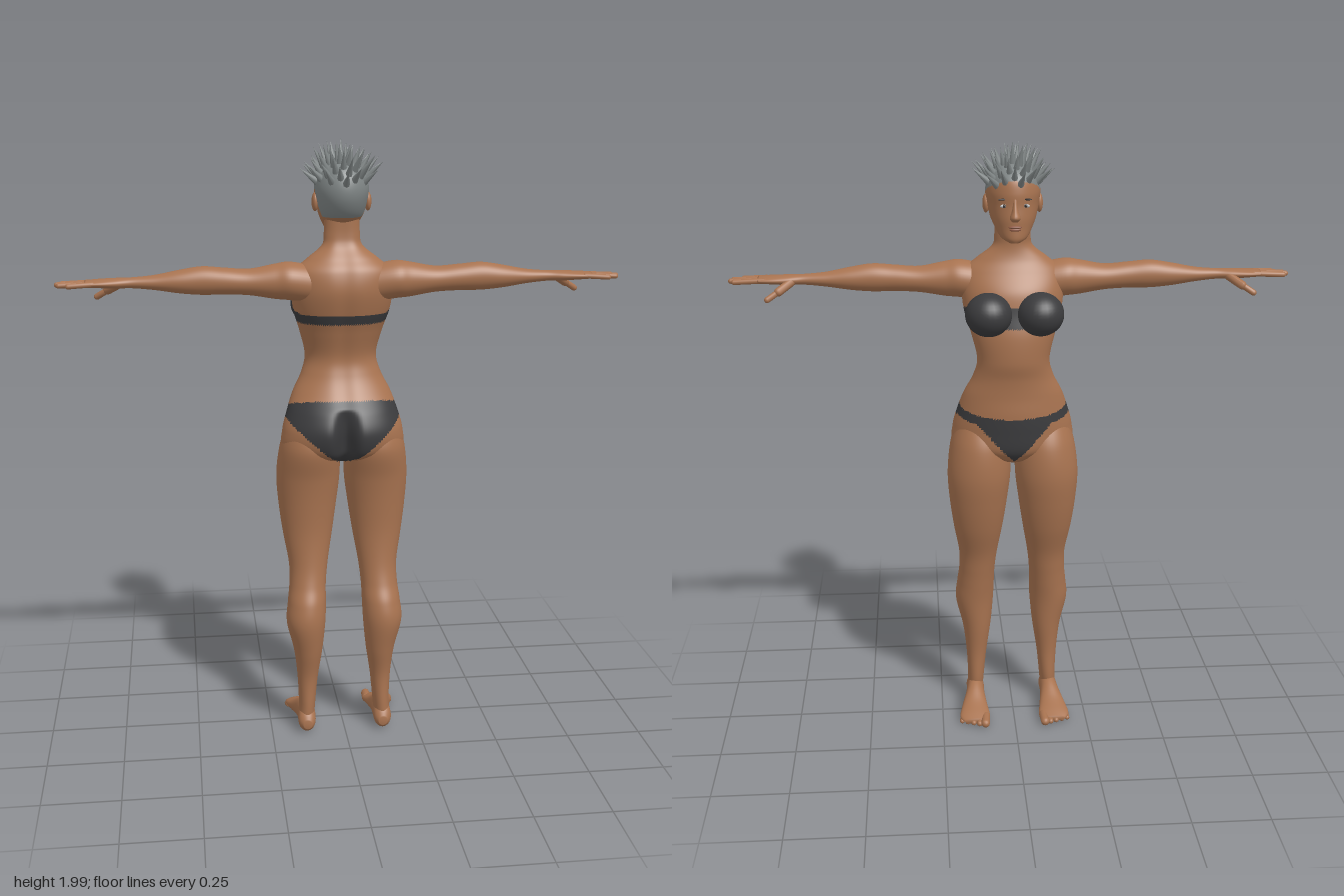
import * as THREE from 'three';

const mat = (name, color) => Object.assign(new THREE.MeshStandardMaterial({ color }), { name });
const clamp = THREE.MathUtils.clamp;

// Smooth scalar interpolation through the rows of a section table
function sampleRows(rows, t) {
  const f = t * (rows.length - 1), i = Math.min(Math.floor(f), rows.length - 2), w = f - i;
  const r = k => rows[clamp(k, 0, rows.length - 1)];
  return rows[0].map((_, c) => {
    const a = r(i - 1)[c], b = r(i)[c], d = r(i + 1)[c], e = r(i + 2)[c];
    const m0 = (d - a) / 2, m1 = (e - b) / 2;
    return b + w * (m0 + w * (3 * (d - b) - 2 * m0 - m1 + w * (2 * (b - d) + m0 + m1)));
  });
}

// Closed loft along an axis (0 x, 1 y, 2 z); each row is [h, u0, u1, v0, v1]
function loft(axis, rows, seg, steps, bend) {
  const pos = [], index = [], u = (axis + 2) % 3, v = (axis + 1) % 3;
  for (let j = -1; j <= steps + 1; j++) {
    const [h, u0, u1, v0, v1] = sampleRows(rows, clamp(j / steps, 0, 1));
    const s = j < 0 || j > steps ? 0.001 : 0.5;
    for (let i = 0; i < seg; i++) {
      const a = i / seg * Math.PI * 2, p = new THREE.Vector3();
      p.setComponent(axis, h);
      p.setComponent(u, (u0 + u1) / 2 + (u1 - u0) * s * Math.cos(a));
      p.setComponent(v, (v0 + v1) / 2 + (v1 - v0) * s * Math.sin(a));
      if (bend) bend(p);
      pos.push(p.x, p.y, p.z);
    }
  }
  for (let j = 0; j < steps + 2; j++) for (let i = 0; i < seg; i++) {
    const a = j * seg + i, b = j * seg + (i + 1) % seg;
    index.push(a, a + seg, b, b, a + seg, b + seg);
  }
  const g = new THREE.BufferGeometry();
  g.setAttribute('position', new THREE.Float32BufferAttribute(pos, 3));
  g.setIndex(index);
  g.computeVertexNormals();
  return g;
}

const ball = (x, y, z, rx, ry, rz) =>
  new THREE.SphereGeometry(1, 28, 20).scale(rx, ry, rz).translate(x, y, z);

// Rounded rod from a to b, for fingers and toes
function rod(a, b, r) {
  const p = new THREE.Vector3(...a), d = new THREE.Vector3(...b).sub(p), len = d.length();
  const q = new THREE.Quaternion().setFromUnitVectors(new THREE.Vector3(0, 1, 0), d.clone().normalize());
  return new THREE.CapsuleGeometry(r, len, 5, 12).applyQuaternion(q).translate(...p.addScaledVector(d, 0.5).toArray());
}

function mirrorX(geo) {
  const g = geo.clone().scale(-1, 1, 1), ix = g.index.array;
  for (let i = 0; i < ix.length; i += 3) [ix[i], ix[i + 1]] = [ix[i + 1], ix[i]];
  g.computeVertexNormals();
  return g;
}

// Sort faces into two material groups by a rule on the face centre
function paint(geo, rule) {
  const p = geo.attributes.position, ix = geo.index.array, parts = [[], []];
  for (let i = 0; i < ix.length; i += 3) {
    const t = [ix[i], ix[i + 1], ix[i + 2]];
    const c = ['getX', 'getY', 'getZ'].map(f => (p[f](t[0]) + p[f](t[1]) + p[f](t[2])) / 3);
    parts[rule(...c) ? 1 : 0].push(...t);
  }
  geo.setIndex([...parts[0], ...parts[1]]);
  geo.addGroup(0, parts[0].length, 0);
  geo.addGroup(parts[0].length, parts[1].length, 1);
  return geo;
}

// Areas covered by the two-piece swimsuit
function isCloth(x, y, z) {
  const ax = Math.abs(x);
  const top = 1.11 + clamp((z + 0.1) / 0.2, 0, 1) * 0.055;
  const low = Math.min(z > 0 ? 0.94 + 0.87 * ax : 0.955 + 1.1 * ax, top - 0.03, 1.11);
  if (y < top && y > low) return true;
  return y > 1.412 && y < 1.445 + clamp(0.05 - z, 0, 0.1) * 0.35;
}
const isHair = (x, y, z) => (y > 1.75 && z > 0.025) || y > 1.835 - 0.45 * Math.min(z, 0);

export function createModel() {
  const model = new THREE.Group();
  model.name = 'figure';
  const skin = mat('skin', 0xa87350), cloth = mat('swimsuit', 0x3b3b3d), hair = mat('hair', 0x7f8585);
  const white = mat('eye white', 0xb9bdc0), dark = mat('brow and iris', 0x35302e), lip = mat('lips', 0x8f5a45);
  const add = (name, geo, material) => {
    const m = new THREE.Mesh(geo, material);
    m.name = name;
    model.add(m);
  };
  const pair = (name, geo, material) => {
    add(name + 'Left', geo, material);
    add(name + 'Right', mirrorX(geo), material);
  };
  const sym = rows => rows.map(([y, w, z0, z1]) => [y, -w, w, z0, z1]);

  // Torso and neck, with a cleft between the buttocks and a shallow spine groove
  const torso = loft(1, sym([
    [0.95, 0.05, -0.06, 0.08], [0.97, 0.13, -0.08, 0.125], [1.0, 0.198, -0.095, 0.155], [1.06, 0.199, -0.1, 0.167],
    [1.12, 0.183, -0.102, 0.147], [1.18, 0.162, -0.1, 0.105], [1.24, 0.132, -0.104, 0.075], [1.3, 0.118, -0.116, 0.064],
    [1.38, 0.136, -0.115, 0.085], [1.45, 0.157, -0.1, 0.11], [1.52, 0.165, -0.085, 0.125], [1.58, 0.158, -0.05, 0.116],
    [1.62, 0.115, -0.03, 0.092], [1.66, 0.066, -0.022, 0.066], [1.7, 0.058, -0.025, 0.058], [1.78, 0.056, -0.04, 0.06],
  ]), 128, 150, p => {
    if (p.z < 0) return;
    const seat = Math.max(0, 1 - ((p.y - 1.03) / 0.11) ** 2);
    p.z -= (0.05 * seat + 0.006) * Math.exp(-((p.x / 0.03) ** 2));
  });
  add('torso', paint(torso, isCloth), [skin, cloth]);
  pair('swimsuitCup', ball(0.083, 1.457, -0.087, 0.075, 0.07, 0.077), cloth);

  // Legs
  const leg = loft(1, [
    [0.04, 0.105, 0.16, 0.04, 0.12], [0.1, 0.1, 0.156, 0.03, 0.12], [0.2, 0.09, 0.16, 0.03, 0.12],
    [0.3, 0.075, 0.172, 0.02, 0.142], [0.4, 0.065, 0.195, 0.01, 0.16], [0.47, 0.062, 0.19, 0, 0.15],
    [0.53, 0.06, 0.183, -0.01, 0.125], [0.6, 0.052, 0.183, -0.025, 0.108], [0.7, 0.035, 0.2, -0.06, 0.1],
    [0.8, 0.02, 0.213, -0.085, 0.105], [0.9, 0.008, 0.219, -0.1, 0.118], [1.0, 0.01, 0.208, -0.092, 0.14],
    [1.08, 0.03, 0.185, -0.06, 0.12],
  ], 56, 90);
  pair('leg', paint(leg, isCloth), [skin, cloth]);

  // Feet and toes
  pair('foot', loft(2, [
    [-0.118, 0.008, 0.026, 0.095, 0.175], [-0.09, 0.005, 0.038, 0.086, 0.19], [-0.04, 0.005, 0.058, 0.092, 0.182],
    [0.02, 0.006, 0.09, 0.1, 0.166], [0.07, 0.005, 0.1, 0.1, 0.16], [0.11, 0.005, 0.08, 0.102, 0.16],
    [0.13, 0.02, 0.05, 0.115, 0.145],
  ], 32, 30), skin);
  for (let i = 0; i < 5; i++) {
    const x = 0.101 + i * 0.02, r = i ? 0.0105 - i * 0.0006 : 0.015;
    pair('toe' + (i + 1), rod([x, 0.02, -0.09 + i * 0.006], [x + 0.003, r + 0.002, -0.133 + i * 0.008], r), skin);
  }

  // Arms with palms
  pair('arm', loft(0, [
    [0.1, -0.02, 0.1, 1.48, 1.6], [0.17, -0.025, 0.11, 1.49, 1.612], [0.22, -0.015, 0.1, 1.495, 1.606],
    [0.3, -0.005, 0.09, 1.508, 1.592], [0.38, 0, 0.088, 1.512, 1.597], [0.45, 0, 0.086, 1.512, 1.602],
    [0.52, 0.003, 0.083, 1.518, 1.592], [0.6, 0.013, 0.072, 1.53, 1.577], [0.67, 0.02, 0.066, 1.537, 1.571],
    [0.72, 0.012, 0.075, 1.537, 1.57], [0.77, 0.008, 0.083, 1.54, 1.568], [0.815, 0.012, 0.085, 1.543, 1.565],
  ], 40, 70), skin);

  // Fingers and thumbs
  const tips = [0.89, 0.902, 0.895, 0.865];
  tips.forEach((tip, i) => pair('finger' + (i + 1),
    rod([0.79, 1.555, 0.021 + i * 0.018], [tip, 1.551, 0.024 + i * 0.02], 0.0088), skin));
  pair('thumbBase', rod([0.71, 1.548, 0.025], [0.748, 1.524, -0.008], 0.014), skin);
  pair('thumb', rod([0.745, 1.526, -0.006], [0.783, 1.502, -0.022], 0.01), skin);

  // Head with close-cropped hair
  add('head', paint(loft(1, sym([
    [1.686, 0.018, -0.1, -0.055], [1.7, 0.042, -0.106, -0.005], [1.73, 0.06, -0.106, 0.045], [1.76, 0.073, -0.107, 0.085],
    [1.8, 0.082, -0.104, 0.109], [1.84, 0.087, -0.104, 0.115], [1.88, 0.078, -0.094, 0.105], [1.908, 0.056, -0.068, 0.083],
    [1.922, 0.022, -0.03, 0.045],
  ]), 80, 80), isHair), [skin, hair]);

  // Face
  add('nose', loft(1, sym([
    [1.754, 0.011, -0.116, -0.08], [1.766, 0.017, -0.134, -0.08], [1.785, 0.011, -0.125, -0.08],
    [1.805, 0.008, -0.112, -0.08], [1.825, 0.009, -0.104, -0.08],
  ]), 20, 16), skin);
  add('upperLip', ball(0, 1.737, -0.105, 0.021, 0.005, 0.007), lip);
  add('lowerLip', ball(0, 1.729, -0.104, 0.018, 0.005, 0.007), lip);
  const facing = (x, y, z, w, h, d) => ball(0, 0, 0, w, h, d).rotateY(0.32).translate(x, y, z);
  pair('eye', facing(0.034, 1.802, -0.0955, 0.013, 0.0055, 0.004), white);
  pair('iris', facing(0.034, 1.802, -0.0975, 0.005, 0.005, 0.004), dark);
  pair('eyebrow', facing(0.036, 1.822, -0.0945, 0.018, 0.003, 0.004), dark);
  pair('ear', ball(0.085, 1.797, 0.008, 0.011, 0.03, 0.02), skin);

  // Hair spikes, spread evenly over the crown
  const up = new THREE.Vector3(0, 1, 0), count = 54;
  for (let i = 0; i < count; i++) {
    const ny = 1 - (i + 0.5) / count * 0.72, a = i * 2.39996, s = Math.sqrt(1 - ny * ny);
    const n = new THREE.Vector3(Math.cos(a) * s, ny, Math.sin(a) * s);
    const root = new THREE.Vector3(0, 1.832, 0.008).add(n.clone().multiply(new THREE.Vector3(0.082, 0.086, 0.102)));
    const dir = n.clone().addScaledVector(up, 0.4).normalize();
    const len = 0.068 + 0.016 * ((i * 7) % 5) / 4;
    const spike = new THREE.ConeGeometry(0.0135, len, 8).translate(0, len / 2 - 0.004, 0)
      .applyQuaternion(new THREE.Quaternion().setFromUnitVectors(up, dir)).translate(root.x, root.y, root.z);
    add('hairSpike' + (i + 1), spike, hair);
  }
  return model;
}
